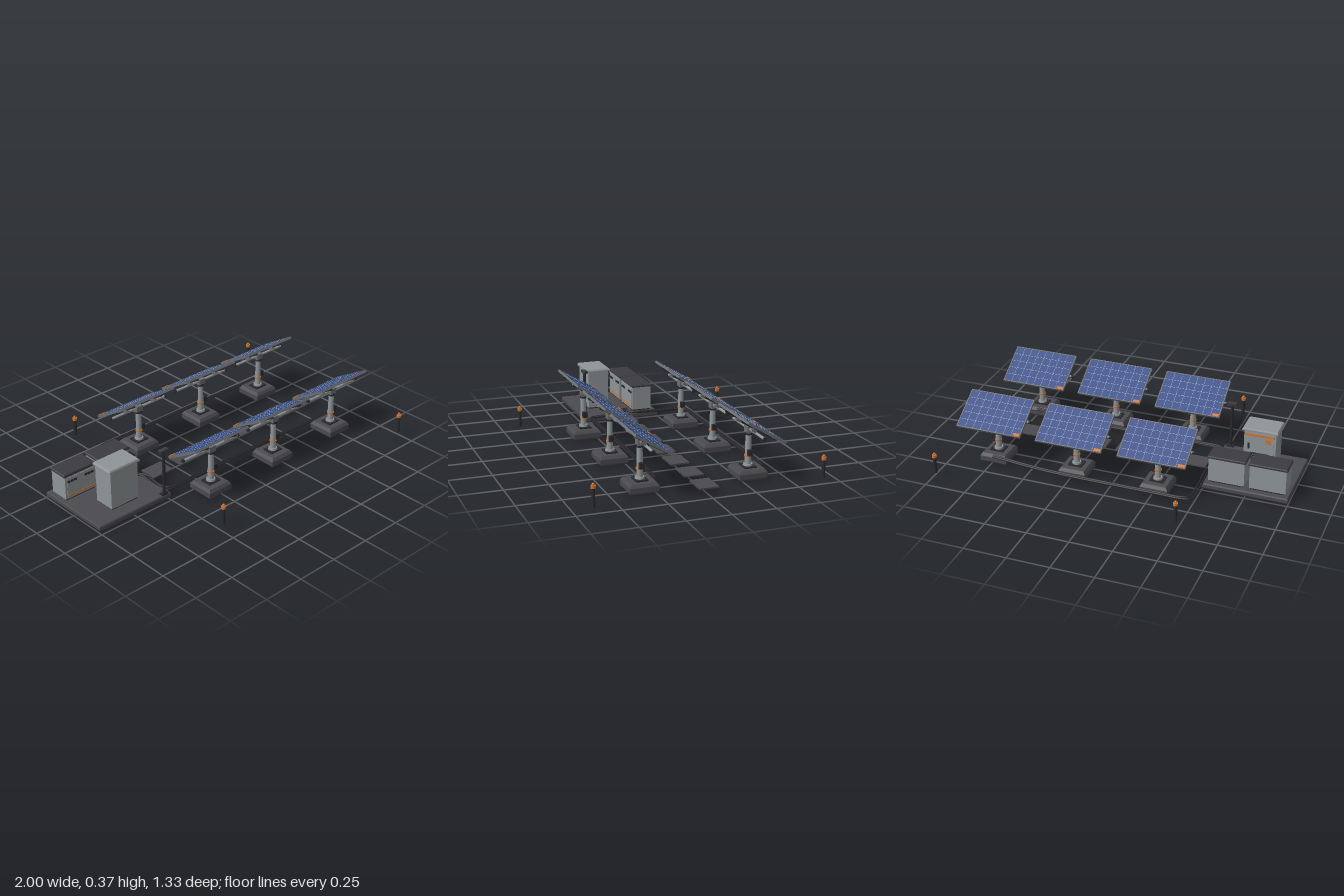
import * as THREE from 'three';

const mat = (name, color) => {
  const m = new THREE.MeshStandardMaterial({ color });
  m.name = name;
  return m;
};

export function createModel() {
  const M = {
    concrete: mat('dark concrete', 0x4b4a4f),
    dark: mat('charcoal', 0x2a292d),
    lid: mat('lid grey', 0x3b3b40),
    steel: mat('light steel', 0x8f9598),
    frame: mat('frame grey', 0x6c6d70),
    cell: mat('cell blue', 0x2d4684),
    line: mat('grid line', 0xa9b3c4),
    orange: mat('safety orange', 0xd0722a),
  };
  const root = new THREE.Group();
  root.name = 'solarStation';

  const group = (name, parent, x = 0, y = 0, z = 0) => {
    const g = new THREE.Group();
    g.name = name;
    g.position.set(x, y, z);
    parent.add(g);
    return g;
  };
  const add = (name, geo, m, parent, x, y, z) => {
    const mesh = new THREE.Mesh(geo, m);
    mesh.name = name;
    mesh.position.set(x, y, z);
    parent.add(mesh);
    return mesh;
  };
  const box = (name, w, h, d, m, parent, x, y, z) =>
    add(name, new THREE.BoxGeometry(w, h, d), m, parent, x, y, z);
  const cyl = (name, r0, r1, h, m, parent, x, y, z, n = 16) =>
    add(name, new THREE.CylinderGeometry(r1, r0, h, n), m, parent, x, y, z);

  // Four-sided block with bevels; levels are [height, inset] from bottom to top
  const block = (name, w, d, levels, m, parent, x, z) => {
    const first = levels[0], last = levels[levels.length - 1];
    const pts = [[first[0], 0.5], ...levels, [last[0], 0.5]]
      .map(([y, inset]) => new THREE.Vector2((0.5 - inset) * Math.SQRT2, y));
    const geo = new THREE.LatheGeometry(pts, 4, Math.PI / 4).toNonIndexed();
    geo.scale(w, 1, d);
    geo.computeVertexNormals();
    return add(name, geo, m, parent, x, 0, z);
  };

  // Equipment slab
  block('equipmentSlab', 0.51, 0.48, [[0.012, 0.008], [0.02, 0], [0.038, 0], [0.045, 0.008]],
    M.concrete, root, -0.745, -0.005);

  // Two low cabinets, doors facing +z
  for (const x of [-0.872, -0.63]) {
    const c = group('lowCabinet', root, x, 0, -0.152);
    box('cabinetPlinth', 0.2, 0.015, 0.112, M.dark, c, 0, 0.05, 0);
    box('cabinetBody', 0.212, 0.148, 0.12, M.steel, c, 0, 0.127, 0);
    block('cabinetLid', 0.225, 0.128, [[0.198, 0], [0.207, 0], [0.213, 0.025]], M.lid, c, 0, 0);
    box('cabinetDoor', 0.186, 0.125, 0.004, M.steel, c, 0, 0.125, 0.061);
    box('doorStripe', 0.186, 0.008, 0.003, M.orange, c, 0, 0.072, 0.064);
    for (const s of [-1, 1]) {
      for (let i = 0; i < 3; i++)
        box('vent', 0.018, 0.014, 0.004, M.dark, c, s * (0.037 + i * 0.022), 0.163, 0.063);
    }
  }

  // Tall cabinet, door facing -z
  const tall = group('tallCabinet', root, -0.757, 0, 0.09);
  box('cabinetPlinth', 0.18, 0.015, 0.122, M.dark, tall, 0, 0.05, 0);
  box('cabinetBody', 0.19, 0.235, 0.13, M.steel, tall, 0, 0.17, 0);
  block('cabinetRoof', 0.212, 0.148, [[0.284, 0], [0.293, 0], [0.302, 0.03]], M.steel, tall, 0, 0);
  box('cabinetDoor', 0.165, 0.21, 0.004, M.steel, tall, 0, 0.17, -0.066);
  box('doorStripe', 0.165, 0.012, 0.006, M.orange, tall, 0, 0.262, -0.069);
  box('warningPlate', 0.03, 0.026, 0.005, M.orange, tall, -0.05, 0.232, -0.069);
  box('doorHandle', 0.01, 0.035, 0.01, M.dark, tall, 0.065, 0.19, -0.071);
  for (let i = 0; i < 6; i++)
    box('louvre', 0.11, 0.007, 0.008, M.dark, tall, 0, 0.075 + i * 0.014, -0.07);

  // Sensor mast
  const mast = group('sensorMast', root, -0.53, 0, 0.222);
  box('mastFoot', 0.045, 0.01, 0.026, M.dark, mast, 0, 0.05, 0);
  cyl('mastPole', 0.009, 0.009, 0.28, M.dark, mast, 0, 0.185, 0);
  box('mastHead', 0.056, 0.014, 0.028, M.lid, mast, 0, 0.329, 0);

  // One solar tracker: footing, post and tilted panel
  const tracker = (x, z) => {
    const t = group('solarTracker', root, x, 0, z);
    block('footing', 0.166, 0.166, [[0.003, 0.04], [0.013, 0], [0.042, 0], [0.06, 0.07]], M.concrete, t, 0, 0);
    box('postPlate', 0.085, 0.008, 0.07, M.dark, t, 0, 0.063, 0);
    cyl('postFlange', 0.028, 0.026, 0.012, M.steel, t, 0, 0.072, 0);
    cyl('post', 0.018, 0.016, 0.19, M.steel, t, 0, 0.165, 0);
    cyl('postBand', 0.021, 0.021, 0.009, M.orange, t, 0, 0.124, 0);
    box('controlBox', 0.022, 0.034, 0.026, M.dark, t, 0.028, 0.145, 0);
    cyl('slewDrive', 0.02, 0.02, 0.014, M.dark, t, 0, 0.25, 0);
    box('tubeClamp', 0.045, 0.036, 0.034, M.frame, t, 0, 0.273, 0);
    cyl('torqueTube', 0.008, 0.008, 0.41, M.steel, t, 0, 0.277, 0).rotation.z = Math.PI / 2;
    for (const s of [-1, 1])
      cyl('tubeCap', 0.01, 0.01, 0.012, M.dark, t, s * 0.208, 0.277, 0).rotation.z = Math.PI / 2;

    const p = group('panel', t, 0, 0.305, -0.018);
    p.rotation.x = -0.54;
    const w = 0.404, d = 0.26, rim = 0.006;
    box('panelBack', w - 0.004, 0.01, d - 0.004, M.dark, p, 0, -0.001, 0);
    for (const s of [-1, 1]) {
      box('frameLong', w, 0.014, rim, M.frame, p, 0, 0, s * (d - rim) / 2);
      box('frameShort', rim, 0.014, d - 2 * rim, M.frame, p, s * (w - rim) / 2, 0, 0);
      box('backRail', 0.014, 0.014, 0.24, M.dark, p, s * 0.105, -0.012, 0);
      box('backStrut', 0.36, 0.006, 0.01, M.lid, p, 0, -0.009, s * 0.07);
      // Arms from the torque tube to the rails
      box('railSaddle', 0.022, 0.018, 0.03, M.frame, p, s * 0.105, -0.024, 0.028);
    }
    const iw = w - 2 * rim, id = d - 2 * rim;
    box('cells', iw, 0.003, id, M.cell, p, 0, 0.0045, 0);
    for (let i = 1; i < 8; i++)
      box('cellLineAcross', 0.0018, 0.001, id, M.line, p, (i / 8 - 0.5) * iw, 0.0062, 0);
    for (let i = 1; i < 5; i++)
      box('cellLineAlong', iw, 0.001, 0.0018, M.line, p, 0, 0.0062, (i / 5 - 0.5) * id);
    box('cornerTag', 0.04, 0.004, 0.018, M.orange, p, -0.178, 0.008, -0.117);
  };
  for (const z of [0.315, -0.315])
    for (const x of [-0.26, 0.24, 0.74]) tracker(x, z);

  // Paired cables from the slab along each row
  const cable = (pts) => add('cable', new THREE.TubeGeometry(
    new THREE.CatmullRomCurve3(pts.map((p) => new THREE.Vector3(...p)), false, 'centripetal'), 90, 0.006, 7),
    M.dark, root, 0, 0, 0);
  for (const k of [0, 1]) {
    const x = -0.5 + k * 0.018, zb = -0.437 + k * 0.016, zf = 0.206 - k * 0.016;
    cable([[-0.57, 0.052, -0.062 + k * 0.012], [-0.52, 0.052, -0.062 + k * 0.012], [x, 0.05, -0.09],
      [x, 0.044, -0.25], [x, 0.042, zb + 0.05], [x + 0.012, 0.042, zb + 0.014], [x + 0.05, 0.042, zb],
      [-0.26, 0.042, zb], [0.24, 0.043, zb], [0.45, 0.046, zb + 0.006], [0.74, 0.055, zb + 0.03]]);
    cable([[-0.57, 0.052, -0.028 - k * 0.012], [-0.52, 0.052, -0.028 - k * 0.012], [x, 0.05, 0],
      [x, 0.044, 0.08], [x, 0.042, zf - 0.05], [x + 0.012, 0.042, zf - 0.014], [x + 0.05, 0.042, zf],
      [-0.26, 0.042, zf], [0.24, 0.043, zf], [0.45, 0.046, zf + 0.006], [0.74, 0.055, zf + 0.032]]);
  }

  // Walkway pads
  for (let i = 0; i < 7; i++)
    box('walkwayPad', 0.146, 0.008, 0.112, M.concrete, root, -0.387 + i * 0.209, 0.038, -0.004);

  // Corner marker posts
  for (const x of [-0.48, 0.983])
    for (const z of [-0.652, 0.652]) {
      const b = group('markerPost', root, x, 0, z);
      cyl('markerBody', 0.01, 0.01, 0.1, M.dark, b, 0, 0.085, 0);
      cyl('markerCollar', 0.014, 0.014, 0.016, M.orange, b, 0, 0.143, 0);
      add('markerLamp', new THREE.SphereGeometry(0.008, 12, 8), M.orange, b, 0, 0.157, 0);
    }

  return root;
}
